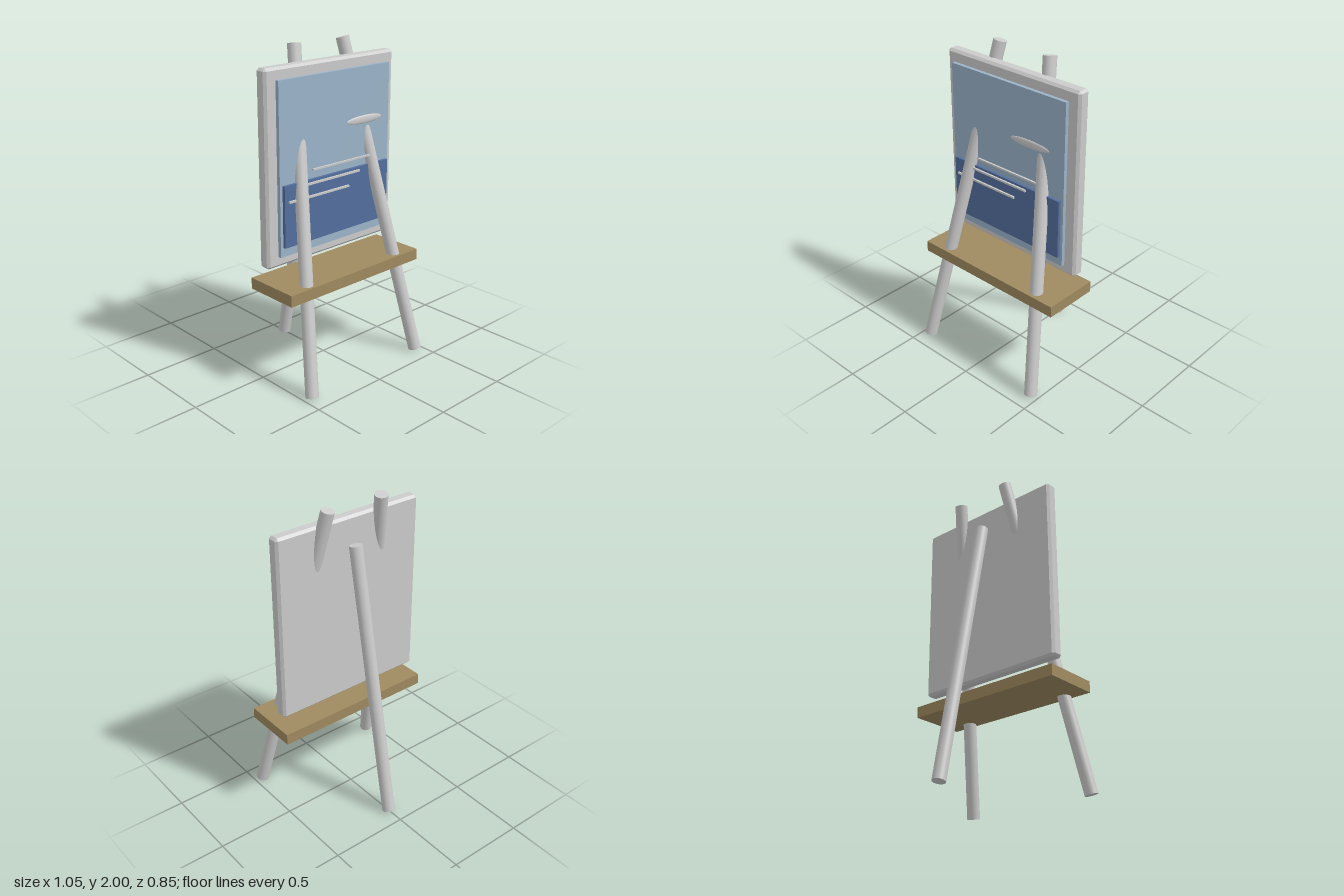
import * as THREE from 'three';
import { ConvexGeometry } from 'three/addons/geometries/ConvexGeometry.js';

const material = (color) => new THREE.MeshStandardMaterial({ color });

export function createModel() {
  const easel = new THREE.Group();
  easel.name = 'easel';
  const grey = material(0xcccccc);
  const wood = material(0x9f8a60);
  const skyBlue = material(0x9bb3c8);
  const seaBlue = material(0x536f9d);

  const add = (name, geometry, mat, x = 0, y = 0, z = 0) => {
    const mesh = new THREE.Mesh(geometry, mat);
    mesh.name = name;
    mesh.position.set(x, y, z);
    easel.add(mesh);
    return mesh;
  };

  // Box given by its limits on each axis
  const slab = (name, mat, [x0, x1], [y0, y1], [z0, z1]) =>
    add(name, new THREE.BoxGeometry(x1 - x0, y1 - y0, z1 - z0), mat,
      (x0 + x1) / 2, (y0 + y1) / 2, (z0 + z1) / 2);

  // Round pole between two points
  const pole = (name, foot, head) => {
    const a = new THREE.Vector3(...foot);
    const axis = new THREE.Vector3(...head).sub(a);
    const mesh = add(name, new THREE.CylinderGeometry(0.04, 0.04, axis.length(), 32), grey);
    mesh.position.copy(a).addScaledVector(axis, 0.5);
    mesh.quaternion.setFromUnitVectors(new THREE.Vector3(0, 1, 0), axis.normalize());
  };

  // Tripod legs
  for (const [side, s] of [['left', 1], ['right', -1]]) {
    pole(`${side}FrontLeg`, [s * 0.447, 0.011, 0.385], [s * 0.189, 1.99, -0.038]);
  }
  pole('backLeg', [0, 0.011, -0.385], [0, 1.735, -0.045]);

  // Board with chamfered edges: every face is inset by the chamfer
  const half = [0.505, 0.583, 0.04];
  const chamfer = 0.015;
  const corners = [];
  for (const sx of [-1, 1]) for (const sy of [-1, 1]) for (const sz of [-1, 1]) {
    for (let face = 0; face < 3; face++) {
      const [x, y, z] = half.map((h, i) => (i === face ? h : h - chamfer));
      corners.push(new THREE.Vector3(sx * x, sy * y, sz * z));
    }
  }
  add('board', new ConvexGeometry(corners), grey, 0, 1.313, 0.04);

  // Shelf
  slab('shelf', wood, [-0.527, 0.527], [0.582, 0.652], [-0.052, 0.306]);

  // Painted panels
  slab('skyPanel', skyBlue, [-0.437, 0.437], [0.8, 1.83], [0.09, 0.113]);
  slab('seaPanel', seaBlue, [-0.418, 0.418], [0.858, 1.23], [0.108, 0.132]);

  // Wave lines, each with its x range, height and thickness
  for (const [x0, x1, y, t] of [[-0.21, 0.26, 1.29, 0.01], [-0.26, 0.17, 1.21, 0.012], [-0.39, 0.08, 1.132, 0.012]]) {
    slab('waveLine', grey, [x0, x1], [y - t / 2, y + t / 2], [0.132, 0.144]);
  }

  // Flat cloud
  const cloud = add('cloud', new THREE.SphereGeometry(1, 32, 20), grey, 0.203, 1.52, 0.139);
  cloud.scale.set(0.145, 0.025, 0.008);

  return easel;
}
